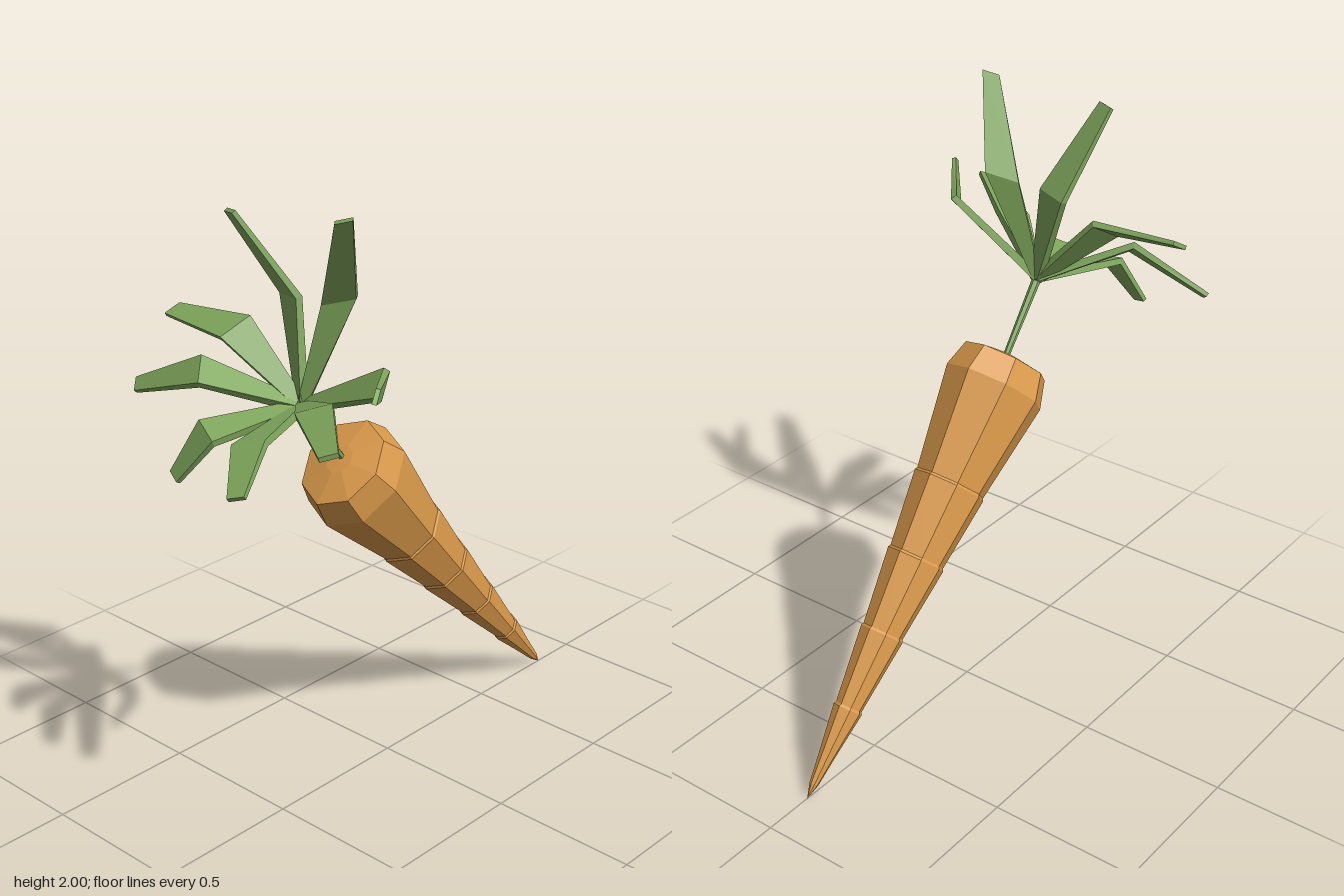
import * as THREE from 'three';

const V = (a) => new THREE.Vector3(...a);
const NODE = [0, 1.36, 0.375]; // where all leaves meet the stem

// Bent leaf blade: thin rectangular sections at base, widest bend and tip
function leafGeometry(mid, tip, across) {
  const base = V(NODE), m = V(mid), t = V(tip);
  const side = V(across).normalize();
  const sections = [
    { p: base, d: m.clone().sub(base), w: 0.016, h: 0.014 },
    { p: m, d: t.clone().sub(base), w: 0.056, h: 0.011 },
    { p: t, d: t.clone().sub(m), w: 0.028, h: 0.007 },
  ];
  const pos = [], index = [];
  for (const { p, d, w, h } of sections) {
    const n = side.clone().cross(d).normalize();
    for (const [a, b] of [[1, 1], [-1, 1], [-1, -1], [1, -1]]) {
      pos.push(...p.clone().addScaledVector(side, a * w).addScaledVector(n, b * h).toArray());
    }
  }
  for (let r = 0; r < 2; r++) {
    for (let i = 0; i < 4; i++) {
      const a = r * 4 + i, b = r * 4 + (i + 1) % 4;
      index.push(a, a + 4, b + 4, a, b + 4, b);
    }
  }
  index.push(0, 1, 2, 0, 2, 3, 8, 10, 9, 8, 11, 10); // end caps
  const g = new THREE.BufferGeometry();
  g.setAttribute('position', new THREE.Float32BufferAttribute(pos, 3));
  g.setIndex(index);
  const flat = g.toNonIndexed();
  flat.computeVertexNormals();
  return flat;
}

export function createModel() {
  const group = new THREE.Group();
  const orange = new THREE.MeshStandardMaterial({ color: 0xd9994a, flatShading: true });
  const green = new THREE.MeshStandardMaterial({ color: 0x7fa65c, flatShading: true });
  const add = (name, geometry, material) => {
    const mesh = new THREE.Mesh(geometry, material);
    mesh.name = name;
    group.add(mesh);
    return mesh;
  };

  // Root: eight-sided taper with small steps at the growth rings
  const profile = [[0, 0], [0.016, 0.05], [0.031, 0.16]];
  for (const [r, y] of [[0.05, 0.31], [0.076, 0.57], [0.103, 0.83], [0.13, 1.09]]) {
    profile.push([r + 0.003, y - 0.004], [r - 0.002, y + 0.004]);
  }
  profile.push([0.184, 1.437], [0.156, 1.529], [0.05, 1.548], [0, 1.55]);
  const root = add('root', new THREE.LatheGeometry(
    profile.map(([r, y]) => new THREE.Vector2(r, y)), 8), orange);
  root.scale.x = 0.9;
  root.rotation.x = 0.744;
  root.position.z = -0.83;

  // Stem from the crown to the leaf node
  const from = V([0, 1.12, 0.19]), to = V(NODE);
  const axis = to.clone().sub(from);
  const stem = add('stem', new THREE.CylinderGeometry(0.015, 0.01, axis.length(), 6), green);
  stem.position.copy(from).add(to).multiplyScalar(0.5);
  stem.quaternion.setFromUnitVectors(new THREE.Vector3(0, 1, 0), axis.normalize());

  // Leaves: bend point, tip, direction across the blade
  const leaves = [
    [[0.105, 1.70, 0.32], [0.237, 1.985, 0.435], [0.10, 0.03, -0.05]],
    [[-0.085, 1.68, 0.33], [-0.17, 1.95, 0.485], [0.09, 0.01, 0.03]],
    [[-0.22, 1.57, 0.43], [-0.48, 1.575, 0.45], [-0.04, -0.06, 0.10]],
    [[-0.235, 1.465, 0.565], [-0.505, 1.36, 0.59], [0.06, -0.05, 0.07]],
    [[-0.09, 1.34, 0.68], [-0.172, 1.195, 0.738], [0.10, -0.03, 0.04]],
    [[0.08, 1.345, 0.67], [0.17, 1.25, 0.81], [0.10, 0.03, -0.04]],
    [[0.24, 1.46, 0.565], [0.51, 1.465, 0.785], [0.08, 0.03, -0.07]],
    [[0.36, 1.53, 0.412], [0.505, 1.582, 0.595], [0.04, -0.05, 0.075]],
  ];
  leaves.forEach((leaf, i) => add(`leaf${i + 1}`, leafGeometry(...leaf), green));

  return group;
}
